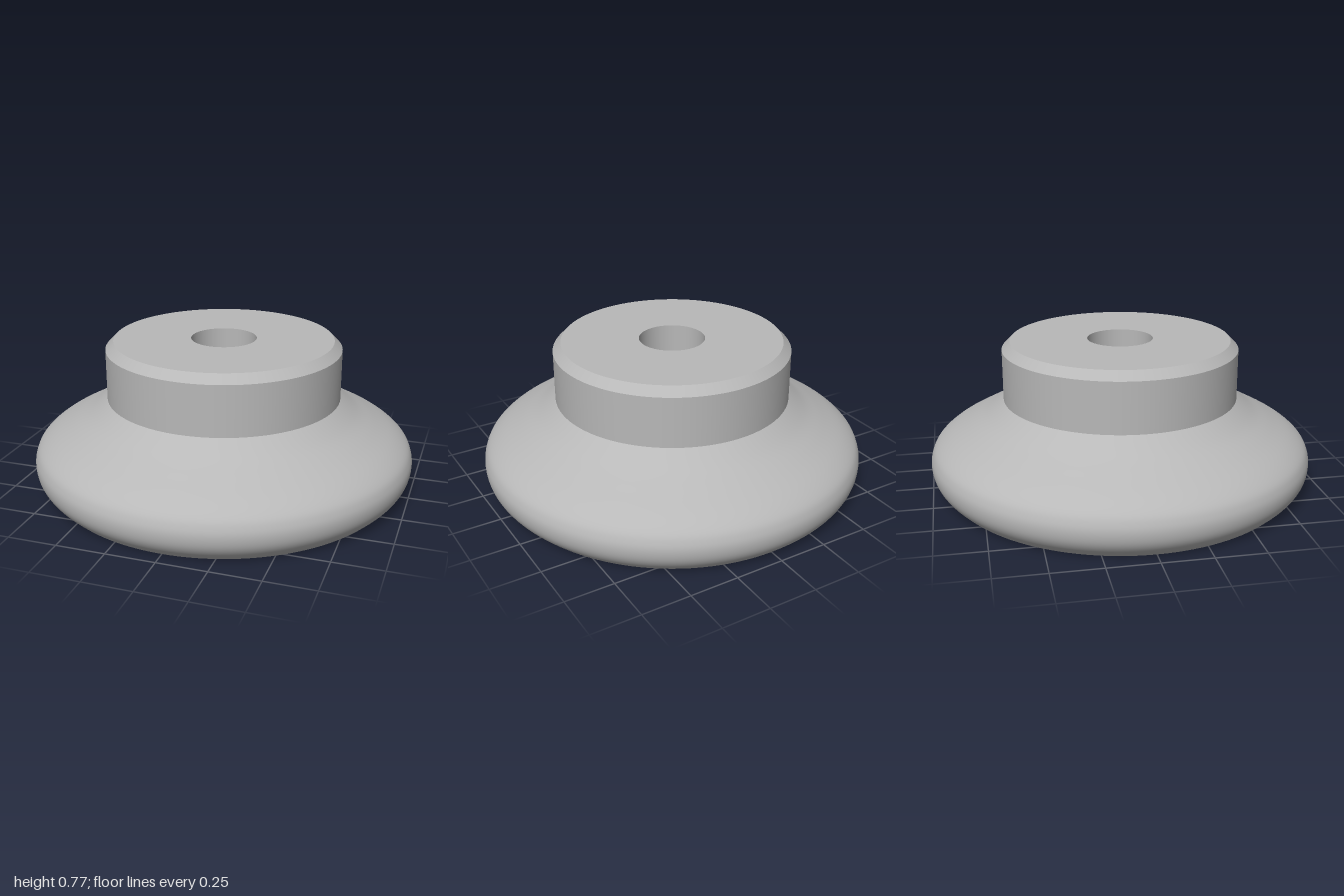
import * as THREE from 'three';

export function createModel() {
  const model = new THREE.Group();
  model.name = 'knob';
  const grey = new THREE.MeshStandardMaterial({ color: 0xb8b8b8 });
  grey.name = 'satin grey';

  // Revolve a profile of [radius, height] points, listed so faces point outwards
  const revolve = (name, points) => {
    const profile = points.map((p) => (p.isVector2 ? p : new THREE.Vector2(...p)));
    const mesh = new THREE.Mesh(new THREE.LatheGeometry(profile, 128), grey);
    mesh.name = name;
    model.add(mesh);
  };

  // Rounded flange: bulging rim that sweeps up in a shallow hollow to the neck
  const rim = new THREE.SplineCurve([
    [0.92, 0], [0.965, 0.045], [0.991, 0.09], [1, 0.14], [0.993, 0.185],
    [0.968, 0.23], [0.905, 0.28], [0.8, 0.338], [0.705, 0.392], [0.612, 0.465],
  ].map(([r, y]) => new THREE.Vector2(r, y)));
  revolve('flange', rim.getPoints(48));
  revolve('underside', [[0, 0], [0.92, 0]]);

  // Collar with a chamfered upper edge
  revolve('collarWall', [[0.612, 0.465], [0.612, 0.727]]);
  revolve('collarChamfer', [[0.612, 0.727], [0.57, 0.77]]);
  revolve('collarTop', [[0.57, 0.77], [0.17, 0.77]]);

  // Stepped blind bore
  revolve('boreWall', [[0.17, 0.77], [0.17, 0.38]]);
  revolve('boreStep', [[0.17, 0.38], [0.135, 0.38]]);
  revolve('lowerBoreWall', [[0.135, 0.38], [0.135, 0.2]]);
  revolve('boreFloor', [[0.135, 0.2], [0, 0.2]]);

  return model;
}
